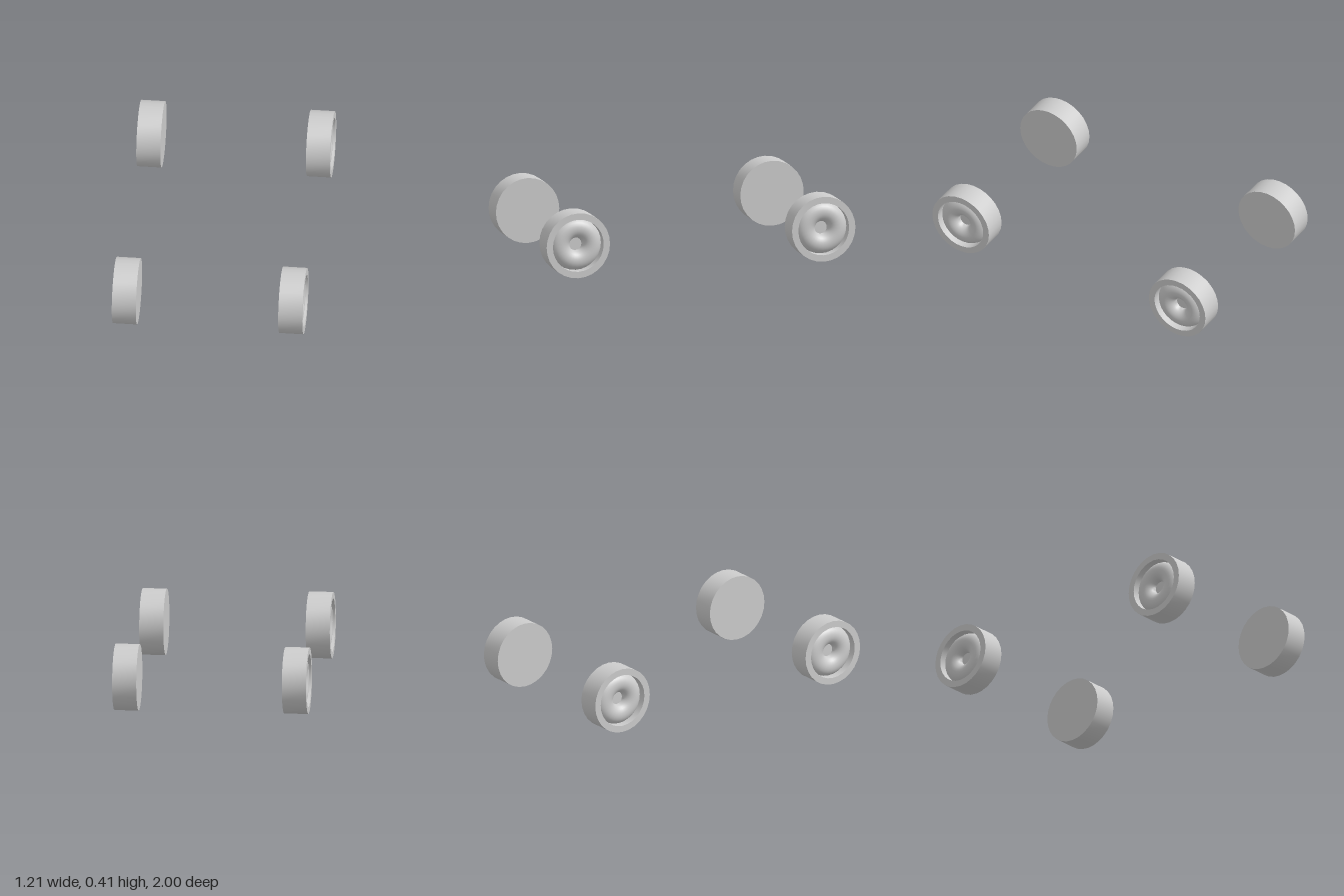
import * as THREE from 'three';
import { toCreasedNormals } from 'three/addons/utils/BufferGeometryUtils.js';

const RADIUS = 0.206, WIDTH = 0.15;

// Wheel turned about its axle: flat inner face, tread, rim, recessed ring and hub
function wheelGeometry() {
  const profile = [[0, 0], [RADIUS, 0], [RADIUS, WIDTH], [0.165, WIDTH], [0.165, 0.085]];
  // rounded ring swelling out of the recess
  const steps = 14;
  for (let i = 1; i <= steps; i++) {
    const a = (i / steps) * Math.PI;
    profile.push([0.1025 + 0.0625 * Math.cos(a), 0.085 + 0.055 * Math.sin(a)]);
  }
  // flat hub at the bottom of the dish
  profile.push([0, 0.085]);
  const points = profile.map(([r, h]) => new THREE.Vector2(r, h));
  return toCreasedNormals(new THREE.LatheGeometry(points, 28), 0.6);
}

export function createModel() {
  const model = new THREE.Group();
  model.name = 'wheelSet';
  const material = new THREE.MeshStandardMaterial({ color: 0xcccccc });
  const geometry = wheelGeometry();

  // name, x of the inner face, z of the axle
  const wheels = [
    ['frontLeftWheel', 0.43, 0.794],
    ['backLeftWheel', 0.45, -0.794],
    ['frontRightWheel', -0.455, 0.794],
    ['backRightWheel', -0.455, -0.794],
  ];
  for (const [name, x, z] of wheels) {
    const wheel = new THREE.Mesh(geometry, material);
    wheel.name = name;
    wheel.position.set(x, RADIUS, z);
    // the dished side faces outward
    wheel.rotation.z = -Math.sign(x) * Math.PI / 2;
    model.add(wheel);
  }
  return model;
}
